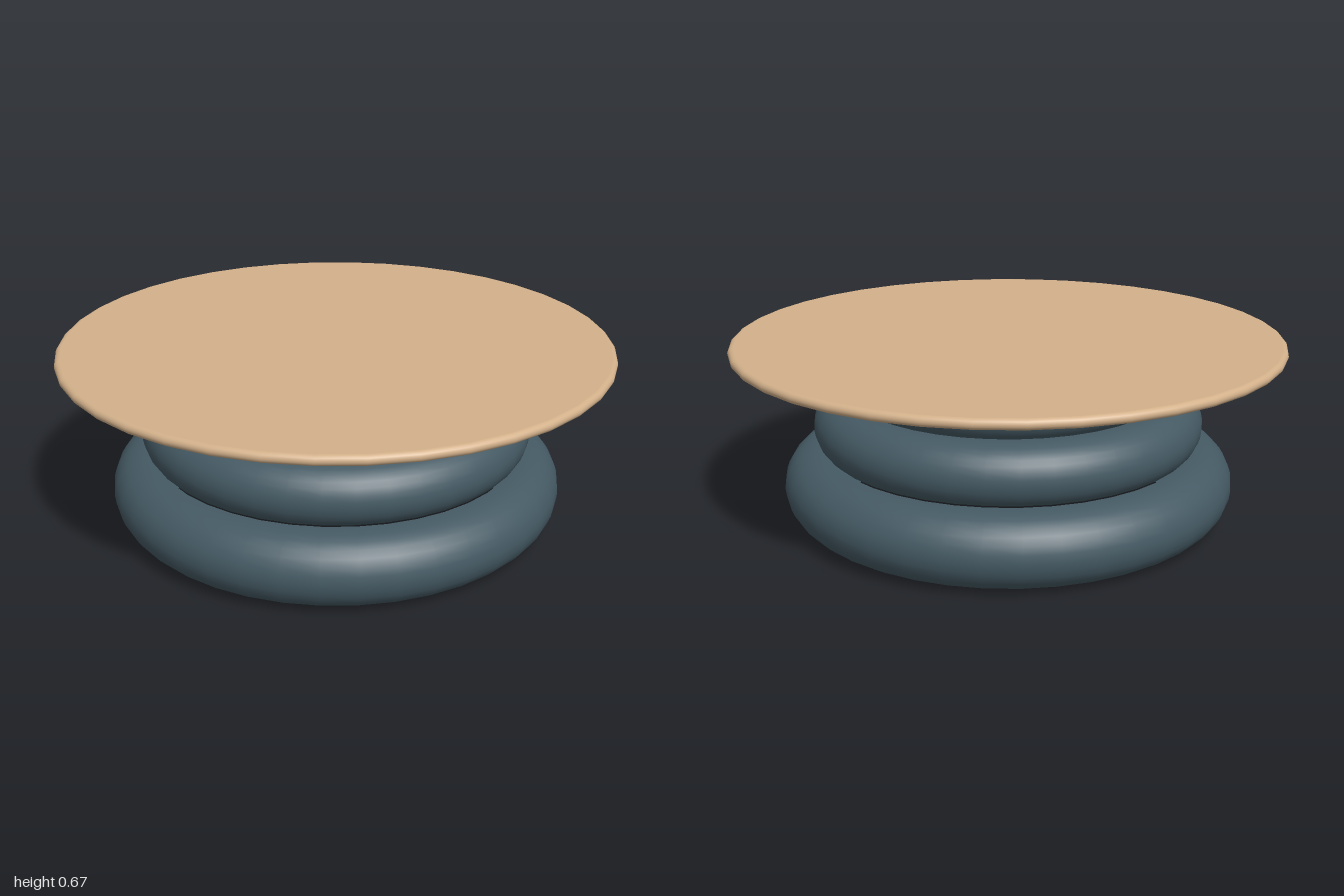
import * as THREE from 'three';

const SEGMENTS = 40;

// Points along an arc of a profile circle, angles in radians from the horizontal
function arc(cx, cy, r, from, to, steps) {
  return Array.from({ length: steps + 1 }, (_, i) => {
    const a = from + ((to - from) * i) / steps;
    return new THREE.Vector2(cx + r * Math.cos(a), cy + r * Math.sin(a));
  });
}

function lathe(name, points, material) {
  const mesh = new THREE.Mesh(new THREE.LatheGeometry(points, SEGMENTS), material);
  mesh.name = name;
  return mesh;
}

export function createModel() {
  const group = new THREE.Group();
  group.name = 'roundTable';

  const baseMaterial = new THREE.MeshStandardMaterial({ color: 0x455a64, side: THREE.DoubleSide });
  const topMaterial = new THREE.MeshStandardMaterial({ color: 0xd2b08a });

  // Hollow base: three thin bulging rings that meet in sharp necks
  const base = new THREE.Group();
  base.name = 'base';
  const H = Math.PI / 2;
  const v = (x, y) => new THREE.Vector2(x, y);
  const lower = [v(0.63, 0.005), ...arc(0.7, 0.135, 0.13, -H, H, 14), v(0.675, 0.265)];
  const middle = [...arc(0.605, 0.355, 0.11, -0.88, H, 12), v(0.58, 0.465)];
  const upper = [...arc(0.52, 0.54, 0.096, -0.9, H, 12), v(0.48, 0.636)];
  base.add(
    lathe('lowerRing', lower, baseMaterial),
    lathe('middleRing', middle, baseMaterial),
    lathe('upperRing', upper, baseMaterial)
  );

  // Thin round top with a rounded rim
  const r = 0.018;
  const y = 0.652;
  const rim = arc(1 - r, y, r, -H, H, 10);
  const top = new THREE.Group();
  top.name = 'tableTop';
  top.add(lathe('rim', rim, topMaterial));
  top.add(lathe('upperFace', [v(1 - r, y + r), v(0, y + r)], topMaterial));
  top.add(lathe('underside', [v(0, y - r), v(1 - r, y - r)], topMaterial));

  group.add(base, top);
  return group;
}
